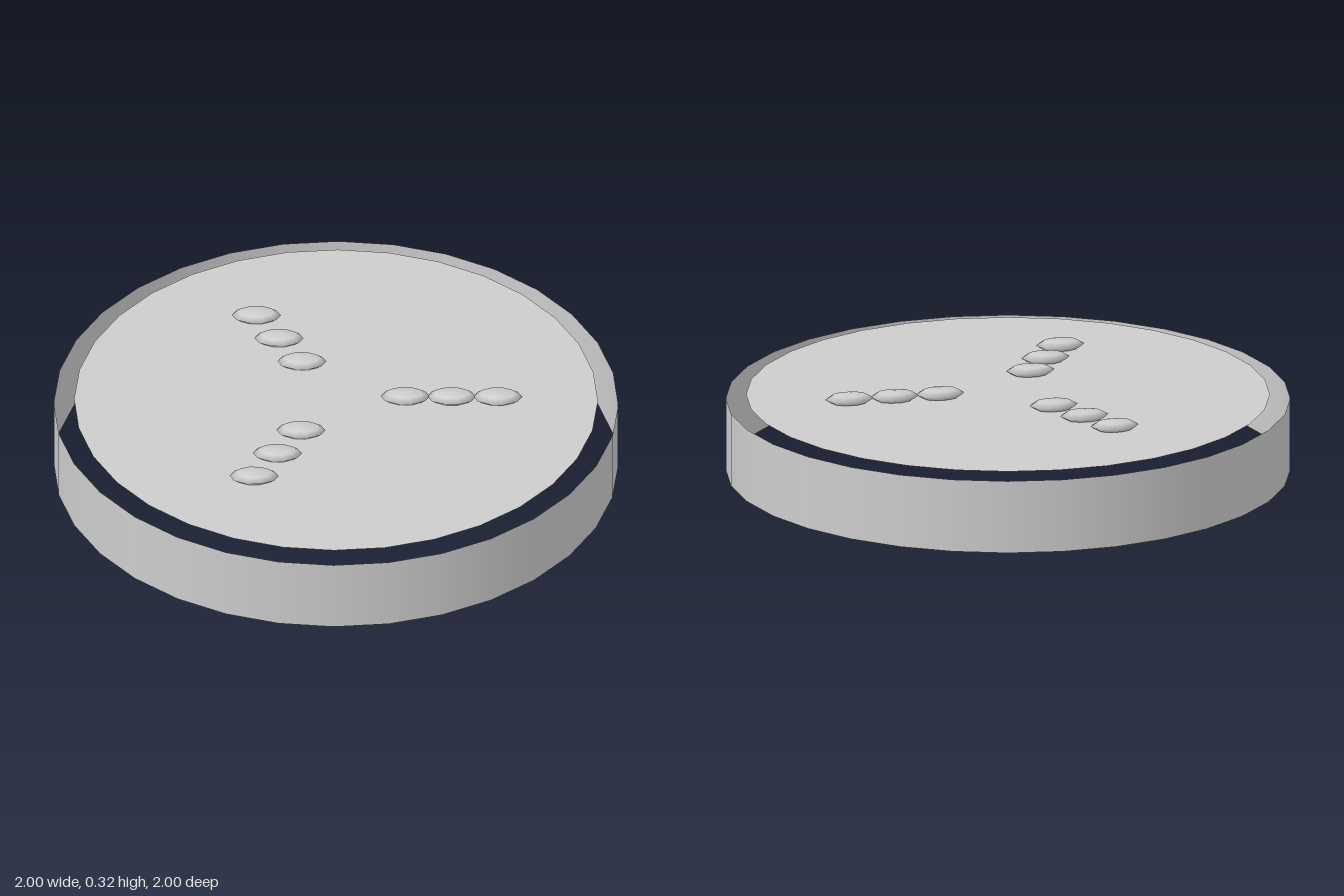
import * as THREE from 'three';

export function createModel() {
  const model = new THREE.Group();
  const grey = new THREE.MeshStandardMaterial({ color: 0xcccccc, side: THREE.DoubleSide });
  grey.name = 'light grey';

  const add = (name, geometry, parent = model) => {
    const mesh = new THREE.Mesh(geometry, grey);
    mesh.name = name;
    parent.add(mesh);
    return mesh;
  };

  // Open hoop, without top or bottom
  const height = 0.266;
  add('rimWall', new THREE.CylinderGeometry(1, 1, height, 32, 1, true)).position.y = height / 2;

  // Thin disc floating just above the hoop's upper edge
  const disc = add('topDisc', new THREE.CircleGeometry(0.928, 32));
  disc.rotation.x = -Math.PI / 2;
  disc.position.y = 0.28;

  // Three spokes of flattened beads, all lying along x
  const beadShape = new THREE.SphereGeometry(1, 10, 4).scale(0.087, 0.022, 0.051);
  for (let spoke = 0; spoke < 3; spoke++) {
    const angle = (spoke * Math.PI * 2) / 3;
    const row = new THREE.Group();
    row.name = 'beadRow' + (spoke + 1);
    model.add(row);
    for (const r of [0.245, 0.41, 0.573]) {
      add('bead', beadShape, row).position.set(r * Math.cos(angle), 0.298, r * Math.sin(angle));
    }
  }
  return model;
}
